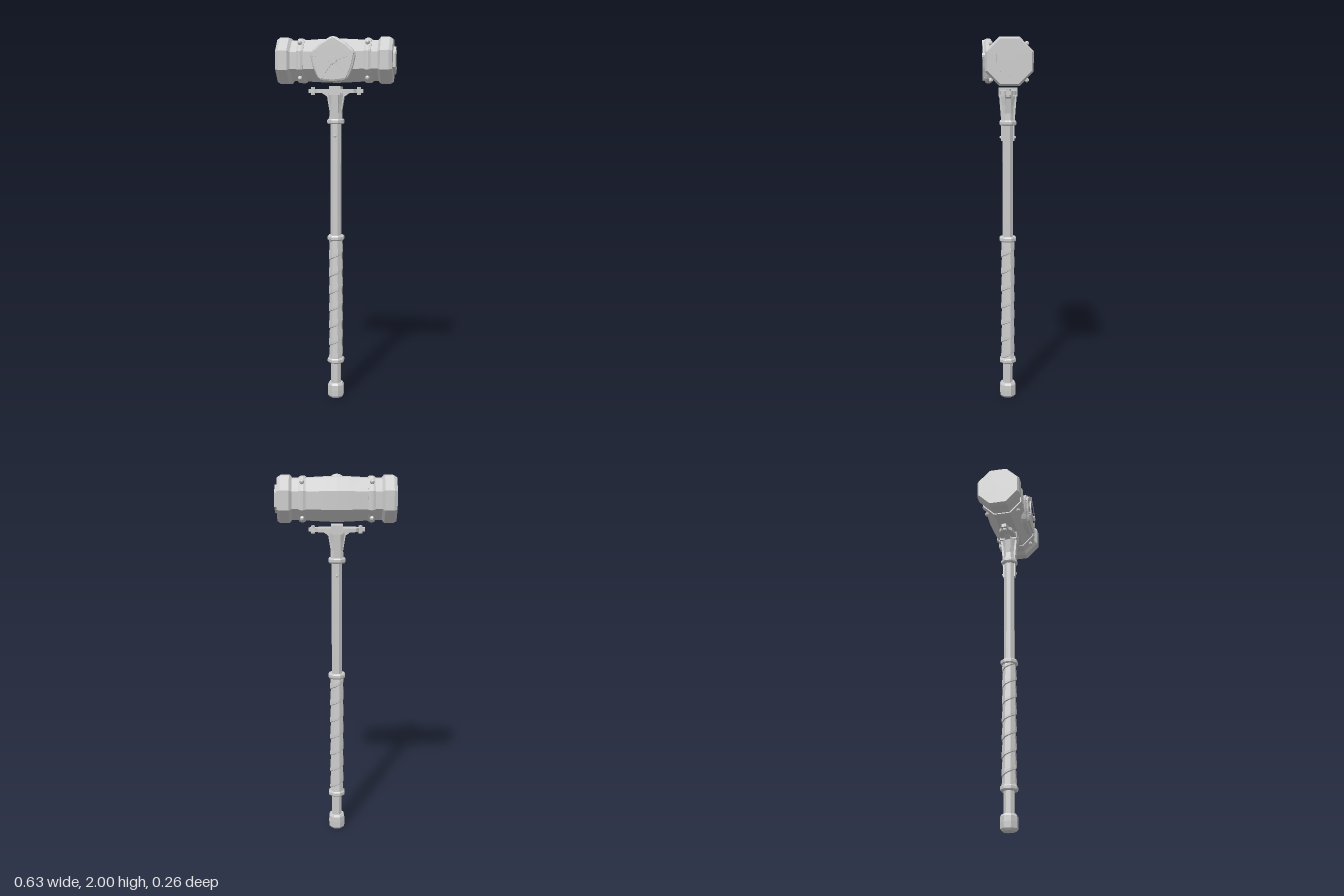
import * as THREE from 'three';

const steel = new THREE.MeshStandardMaterial({ color: 0xcccccc, flatShading: true });
steel.name = 'light grey steel';

function add(parent, name, geometry, x = 0, y = 0, z = 0) {
  const mesh = new THREE.Mesh(geometry, steel);
  mesh.name = name;
  mesh.position.set(x, y, z);
  parent.add(mesh);
  return mesh;
}

// Octagonal solid turned about y; profile = [apothem, height], rising
function octagon(profile) {
  const points = profile.map(([r, y]) => new THREE.Vector2(r / Math.cos(Math.PI / 8), y));
  return new THREE.LatheGeometry(points, 8, Math.PI / 8);
}

// The same solid laid along x
const octagonX = (profile) => octagon(profile).rotateZ(-Math.PI / 2);

// Closed outline from a polar radius rule, starting at the top
function polar(radius, steps, PathType = THREE.Shape) {
  const points = [];
  for (let i = 0; i < steps; i++) {
    const a = (i / steps) * Math.PI * 2;
    points.push(new THREE.Vector2(Math.sin(a) * radius(a), Math.cos(a) * radius(a)));
  }
  return new PathType(points);
}

const extrude = (shape, depth, bevel = 0) => new THREE.ExtrudeGeometry(shape, {
  depth, bevelEnabled: bevel > 0, bevelThickness: bevel, bevelSize: bevel, bevelSegments: 2,
});

// Wrapped grip: helical strip with a raised lower lip
function wrapGeometry(y0, y1, turns) {
  const pitch = (y1 - y0) / turns;
  const pos = [];
  const index = [];
  const rows = [[0.033, 0], [0.041, 0.006], [0.041, 0.02], [0.036, pitch]];
  const count = 8 * (turns + 1);
  for (let s = 0; s <= count; s++) {
    const a = Math.PI / 8 + (s * Math.PI) / 4;
    for (const [r, dy] of rows) {
      const y = THREE.MathUtils.clamp(y0 - pitch + (s / 8) * pitch + dy, y0, y1);
      pos.push(Math.sin(a) * r, y, Math.cos(a) * r);
    }
  }
  for (let s = 0; s < count; s++) {
    for (let k = 0; k < 3; k++) {
      const a = s * 4 + k;
      index.push(a, a + 4, a + 1, a + 4, a + 5, a + 1);
    }
  }
  const g = new THREE.BufferGeometry();
  g.setAttribute('position', new THREE.Float32BufferAttribute(pos, 3));
  g.setIndex(index);
  g.computeVertexNormals();
  return g;
}

function buildHead() {
  const head = new THREE.Group();
  head.name = 'head';
  add(head, 'headBarrel', octagonX([
    [0, -0.25], [0.105, -0.25], [0.105, -0.23], [0.108, -0.15], [0.113, -0.06], [0.115, 0],
    [0.113, 0.06], [0.108, 0.15], [0.105, 0.23], [0.105, 0.25], [0, 0.25]]));

  for (const s of [-1, 1]) {
    // Striking caps
    const cap = [[0, 0.225], [0.104, 0.231], [0.121, 0.246], [0.121, 0.292], [0.111, 0.309], [0, 0.309]];
    const profile = s > 0 ? cap : cap.map(([r, x]) => [r, -x]).reverse();
    add(head, 'strikingCap', octagonX(profile));

    // Riveted bands
    add(head, 'band', octagonX([
      [0.1, -0.018], [0.112, -0.018], [0.117, -0.006], [0.117, 0.006], [0.112, 0.018], [0.1, 0.018]]), s * 0.179);
    for (const sy of [-1, 1]) for (const sz of [-1, 1]) {
      add(head, 'rivet', new THREE.SphereGeometry(0.0125, 6, 5), s * 0.179, sy * 0.092, sz * 0.092);
    }
  }

  // Hexagonal socket on one end
  const hex = polar(() => 0.073, 6);
  hex.holes.push(polar(() => 0.035, 12, THREE.Path));
  add(head, 'endSocket', extrude(hex, 0.02).rotateY(Math.PI / 2), 0.303);

  // Front medallion: a five-lobed plate with a spoked wheel
  const medallion = new THREE.Group();
  medallion.name = 'medallion';
  const lobed = (r, swell) => (a) => r + swell * Math.pow(Math.abs(Math.cos(a * 2.5)), 5);
  add(medallion, 'medallionPlate', extrude(polar(lobed(0.1, 0.011), 60), 0.012, 0.012), 0, 0, 0.099);
  const rim = polar(lobed(0.1, 0.012), 60);
  rim.holes.push(polar(() => 0.08, 30, THREE.Path));
  add(medallion, 'medallionRim', extrude(rim, 0.014), 0, 0, 0.121);
  add(medallion, 'wheelHub', new THREE.CylinderGeometry(0.02, 0.024, 0.016, 10).rotateX(Math.PI / 2), 0, 0, 0.126);
  for (let i = 0; i < 5; i++) {
    const arm = new THREE.Group();
    arm.name = 'medallionArm';
    arm.rotation.z = (i * Math.PI * 2) / 5;
    add(arm, 'spoke', new THREE.BoxGeometry(0.015, 0.08, 0.01), 0, 0.045, 0.127);
    add(arm, 'lobe', new THREE.CylinderGeometry(0.015, 0.02, 0.046, 8).rotateX(Math.PI / 2), 0, 0.1, 0.113);
    medallion.add(arm);
  }
  head.add(medallion);
  head.position.y = 1.879;
  return head;
}

function buildHandle() {
  const handle = new THREE.Group();
  handle.name = 'handle';
  add(handle, 'shaft', octagon([[0, 0.05], [0.028, 0.05], [0.028, 1.57], [0, 1.57]]));
  add(handle, 'pommel', octagon([
    [0, 0], [0.034, 0], [0.043, 0.012], [0.044, 0.045], [0.043, 0.074], [0.036, 0.086], [0, 0.086]]));

  // Grip between two collars, with a third under the socket
  add(handle, 'gripCore', octagon([[0.033, 0.22], [0.033, 0.92]]));
  add(handle, 'gripWrap', wrapGeometry(0.225, 0.915, 7));
  for (const y of [0.218, 0.92, 1.558]) {
    add(handle, 'collar', octagon([
      [0.026, -0.014], [0.04, -0.014], [0.045, -0.007], [0.045, 0.007], [0.04, 0.014], [0.026, 0.014]]), 0, y);
  }

  // Flared socket below the head
  add(handle, 'socket', octagon([
    [0, 1.56], [0.036, 1.56], [0.033, 1.61], [0.035, 1.655], [0.04, 1.70], [0.04, 1.72], [0, 1.72]]));
  add(handle, 'socketTop', new THREE.BoxGeometry(0.062, 0.045, 0.1), 0, 1.7225);

  for (const s of [-1, 1]) {
    // Langets running down the front and back of the shaft
    add(handle, 'langet', new THREE.BoxGeometry(0.022, 0.1, 0.012), 0, 1.51, s * 0.03);
    add(handle, 'langetRivet', new THREE.SphereGeometry(0.008, 6, 5), 0, 1.48, s * 0.038);
    const rib = add(handle, 'socketRib', new THREE.BoxGeometry(0.036, 0.15, 0.012), 0, 1.64, s * 0.036);
    rib.rotation.x = s * 0.08;
    // Bolts at the ends of the mounting plate
    add(handle, 'plateBolt', new THREE.CylinderGeometry(0.012, 0.012, 0.042, 6), s * 0.125, 1.72);
    // Brackets under the plate
    const bracket = new THREE.Shape([
      new THREE.Vector2(0.028, 1.58), new THREE.Vector2(0.046, 1.69),
      new THREE.Vector2(0.075, 1.71), new THREE.Vector2(0.02, 1.712)]);
    const b = add(handle, 'bracket', extrude(bracket, 0.03), 0, 0, -0.015 * s);
    b.rotation.y = s < 0 ? Math.PI : 0;
  }

  // Mounting plate, narrowing to end tabs
  const right = [[0.148, 0.014], [0.115, 0.02], [0.1, 0.038], [0.04, 0.046]];
  const left = right.map(([x, z]) => [-x, z]).reverse();
  const top = [...right, ...left];
  const bottom = top.map(([x, z]) => [x, -z]).reverse();
  const plate = new THREE.Shape([...top, ...bottom].map(([x, z]) => new THREE.Vector2(x, z)));
  add(handle, 'mountingPlate', extrude(plate, 0.02).rotateX(-Math.PI / 2), 0, 1.71);
  return handle;
}

export function createModel() {
  const model = new THREE.Group();
  model.name = 'warHammer';
  model.add(buildHead(), buildHandle());
  model.position.set(-0.0075, 0, -0.0075);
  return model;
}
